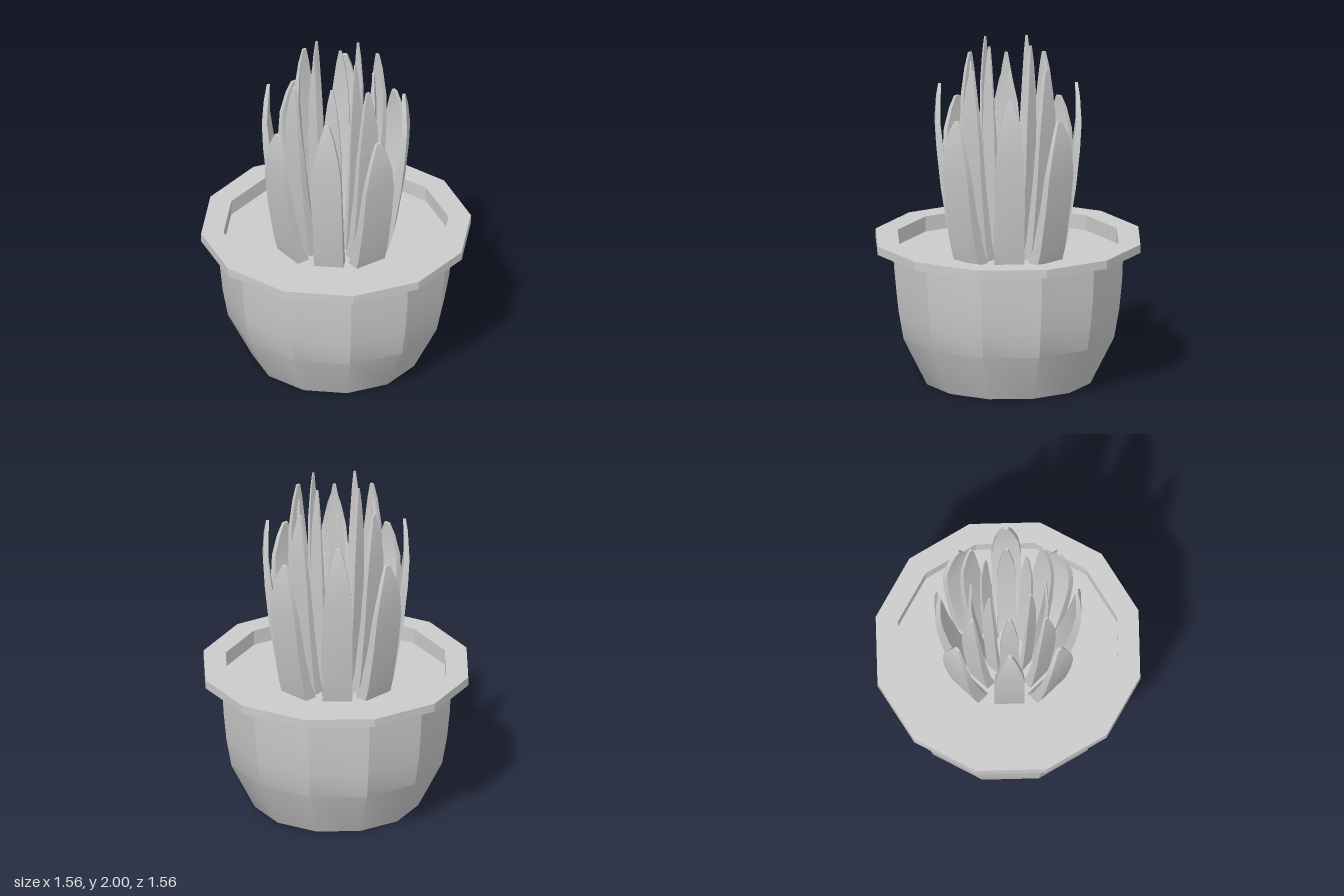
import * as THREE from 'three';
import { toCreasedNormals } from 'three/addons/utils/BufferGeometryUtils.js';

const material = new THREE.MeshStandardMaterial({ color: 0xcccccc });
const SOIL_Y = 0.75;

// Twelve-sided turned part from [radius, height] pairs
function turned(name, profile) {
  const points = profile.map(([r, y]) => new THREE.Vector2(r, y));
  const mesh = new THREE.Mesh(toCreasedNormals(new THREE.LatheGeometry(points, 12), 0.5), material);
  mesh.name = name;
  return mesh;
}

// Leaf stations: height share, inner reach, outer reach, width share
const STATIONS = [
  [0, 0, 0.45, 1],
  [0.1, 0.22, 0.58, 1],
  [0.4, 0.56, 0.83, 1],
  [0.62, 0.74, 0.95, 0.98],
  [0.78, 0.84, 1, 0.8],
  [0.92, 0.83, 0.96, 0.45],
  [1, 0.81, 0.9, 0.15],
];

// Thick tapering leaf, lofted through rectangular sections, facing +z
function leafGeometry({ rIn, rOut, top, halfWidth }) {
  const positions = [];
  const index = [];
  const span = rOut - rIn;
  STATIONS.forEach(([s, a, b, w], i) => {
    const y = SOIL_Y + s * (top - SOIL_Y);
    const zi = rIn + span * a;
    const zo = rIn + span * b;
    const x = halfWidth * w;
    positions.push(-x, y, zo, x, y, zo, x, y, zi, -x, y, zi);
    if (i === 0) return;
    for (let j = 0; j < 4; j++) {
      const p = (i - 1) * 4 + j;
      const q = (i - 1) * 4 + ((j + 1) % 4);
      index.push(p, q, q + 4, p, q + 4, p + 4);
    }
  });
  const t = (STATIONS.length - 1) * 4;
  index.push(0, 2, 1, 0, 3, 2, t, t + 1, t + 2, t, t + 2, t + 3);
  const geometry = new THREE.BufferGeometry();
  geometry.setAttribute('position', new THREE.Float32BufferAttribute(positions, 3));
  geometry.setIndex(index);
  return toCreasedNormals(geometry, 0.5);
}

// Whorls of four leaves; angles in degrees
const WHORLS = [
  { name: 'outerLeaf', rIn: 0.26, rOut: 0.44, top: 1.6, halfWidth: 0.1, angle: -1.6 },
  { name: 'outerDiagonalLeaf', rIn: 0.23, rOut: 0.42, top: 1.75, halfWidth: 0.085, angle: 45 },
  { name: 'middleLeaf', rIn: 0.18, rOut: 0.32, top: 1.88, halfWidth: 0.07, angle: 0 },
  { name: 'innerDiagonalLeaf', rIn: 0.12, rOut: 0.23, top: 1.88, halfWidth: 0.055, angle: 46 },
  { name: 'innerLeaf', rIn: 0.1, rOut: 0.18, top: 2, halfWidth: 0.042, angle: 4 },
];

export function createModel() {
  const model = new THREE.Group();
  model.name = 'pottedSucculent';

  // Pot body, hollow-edged rim and soil
  model.add(
    turned('potBody', [[0, 0], [0.485, 0], [0.625, 0.28], [0.655, 0.45], [0.672, 0.62], [0.68, 0.82]]),
    turned('potRim', [[0.68, 0.82], [0.76, 0.82], [0.76, 0.79], [0.78, 0.79], [0.78, 0.84], [0.65, 0.84], [0.65, SOIL_Y]]),
    turned('soil', [[0.65, SOIL_Y], [0, SOIL_Y]]),
  );

  // Leaves
  const plant = new THREE.Group();
  plant.name = 'leaves';
  for (const whorl of WHORLS) {
    const geometry = leafGeometry(whorl);
    for (let i = 0; i < 4; i++) {
      const leaf = new THREE.Mesh(geometry, material);
      leaf.name = whorl.name;
      leaf.rotation.y = THREE.MathUtils.degToRad(whorl.angle + i * 90);
      plant.add(leaf);
    }
  }
  model.add(plant);
  return model;
}
